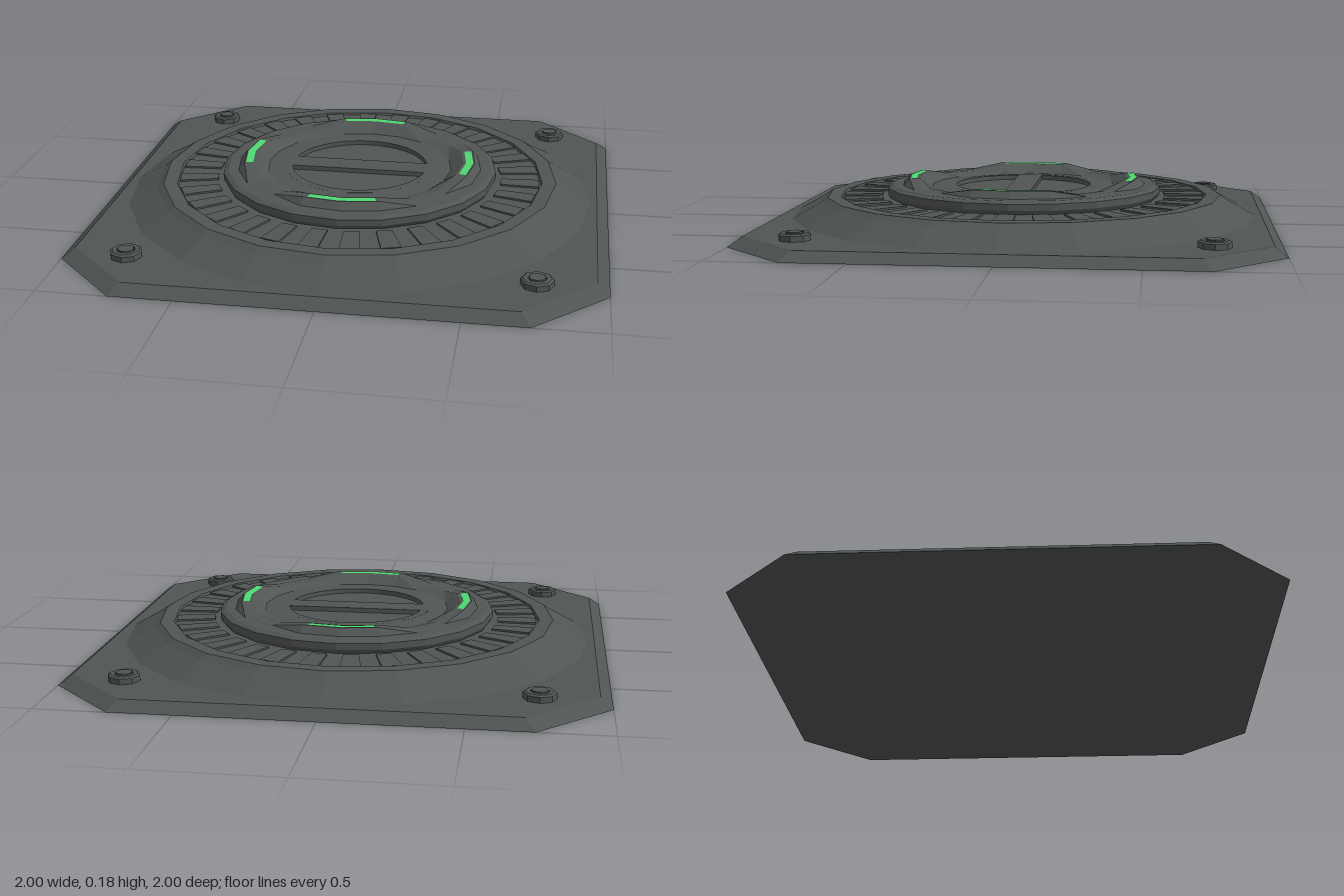
import * as THREE from 'three';

const SIDES = 20;
const STEP = (Math.PI * 2) / SIDES;

export function createModel() {
  const model = new THREE.Group();
  const metal = new THREE.MeshStandardMaterial({ color: 0x505554 });
  metal.name = 'dark grey metal';
  const glow = new THREE.MeshStandardMaterial({ color: 0x4fd870 });
  glow.name = 'green light';

  // Faceted normals on every part
  const add = (name, geometry, material = metal, parent = model) => {
    const flat = geometry.index ? geometry.toNonIndexed() : geometry;
    flat.computeVertexNormals();
    const mesh = new THREE.Mesh(flat, material);
    mesh.name = name;
    parent.add(mesh);
    return mesh;
  };
  // Profiles are [radius, height], from the outer bottom up and inwards
  const lathe = (profile, sides = SIDES, start = 0, length = Math.PI * 2) =>
    new THREE.LatheGeometry(profile.map(([r, y]) => new THREE.Vector2(r, y)), sides, start, length);
  // Extrude a ground-plan shape upwards
  const prism = (shape, height, y = 0) =>
    new THREE.ExtrudeGeometry(shape, { depth: height, bevelEnabled: false, curveSegments: 20 })
      .rotateX(-Math.PI / 2).translate(0, y, 0);
  const polygon = (pairs) => new THREE.Shape(pairs.map(([x, y]) => new THREE.Vector2(x, y)));

  // Base plate: square with cut corners, tapering to its top
  const c = 0.735;
  const plate = prism(polygon([[1, -c], [1, c], [c, 1], [-c, 1], [-1, c], [-1, -c], [-c, -1], [c, -1]]), 0.035);
  const pos = plate.attributes.position;
  for (let i = 0; i < pos.count; i++) {
    if (pos.getY(i) > 0.02) {
      pos.setX(i, pos.getX(i) * 0.955);
      pos.setZ(i, pos.getZ(i) * 0.955);
    }
  }
  add('basePlate', plate);

  // Sloped collar with a sunken channel around the hub
  add('collar', lathe([
    [0.93, 0.034], [0.815, 0.097], [0.79, 0.115], [0.735, 0.115], [0.73, 0.105], [0.54, 0.105],
  ]));

  // Ribs in the channel
  const ribs = new THREE.Group();
  ribs.name = 'channelRibs';
  model.add(ribs);
  const half = Math.tan(Math.PI / 60);
  const rib = prism(polygon([
    [0.57, -0.57 * half], [0.722, -0.722 * half], [0.722, 0.722 * half], [0.57, 0.57 * half],
  ]), 0.008, 0.104);
  for (let i = 0; i < 30; i++) {
    add('channelRib', rib, metal, ribs).rotation.y = (i * Math.PI) / 15 + Math.PI / 30 * (i % 1);
  }

  // Hub step
  add('hubRing', lathe([[0.54, 0.104], [0.55, 0.12], [0.55, 0.145], [0.53, 0.155], [0.48, 0.155]]));

  // Crown ring: four raised tabs that slope down to low stretches between them
  const crown = lathe([[0.49, 0.154], [0.465, 0.182], [0.42, 0.18], [0.37, 0.145]]);
  const cp = crown.attributes.position;
  for (let i = 0; i < cp.count; i++) {
    const angle = Math.atan2(cp.getX(i), cp.getZ(i));
    const quarter = Math.PI / 2;
    const away = Math.abs(angle - Math.round(angle / quarter) * quarter);
    if (away > STEP * 1.5 && cp.getY(i) > 0.16) cp.setY(i, 0.158);
  }
  add('crownRing', crown);

  // Light strips on the four tabs
  for (let i = 0; i < 4; i++) {
    const strip = lathe([[0.459, 0.183], [0.43, 0.182]], 2, -STEP * 0.92, STEP * 1.84);
    add('lightStrip', strip, glow).rotation.y = (i * Math.PI) / 2;
  }

  // Dished centre with two half-moon recesses either side of a bar
  add('centreSlope', lathe([[0.372, 0.145], [0.3, 0.15]]));
  const face = polygon(Array.from({ length: SIDES }, (_, i) =>
    [0.302 * Math.sin(i * STEP), 0.302 * Math.cos(i * STEP)]));
  const edge = Math.asin(0.05 / 0.27);
  for (const turn of [0, Math.PI]) {
    const hole = new THREE.Path();
    hole.absarc(0, 0, 0.27, turn + edge, turn + Math.PI - edge, false);
    hole.closePath();
    face.holes.push(hole);
  }
  add('centreFace', prism(face, 0.02, 0.13));
  add('recessFloor', new THREE.CircleGeometry(0.29, 32).rotateX(-Math.PI / 2).translate(0, 0.132, 0));

  // Corner bolts
  for (const x of [-0.745, 0.745]) {
    for (const z of [-0.745, 0.745]) {
      const bolt = new THREE.Group();
      bolt.name = 'cornerBolt';
      bolt.position.set(x, 0, z);
      model.add(bolt);
      add('washer', lathe([[0.06, 0.03], [0.06, 0.056], [0.052, 0.062], [0.035, 0.062], [0.03, 0.05], [0, 0.05]], 8), metal, bolt);
      add('boltHead', lathe([[0.03, 0.05], [0.03, 0.066], [0, 0.066]], 8), metal, bolt);
    }
  }
  return model;
}
